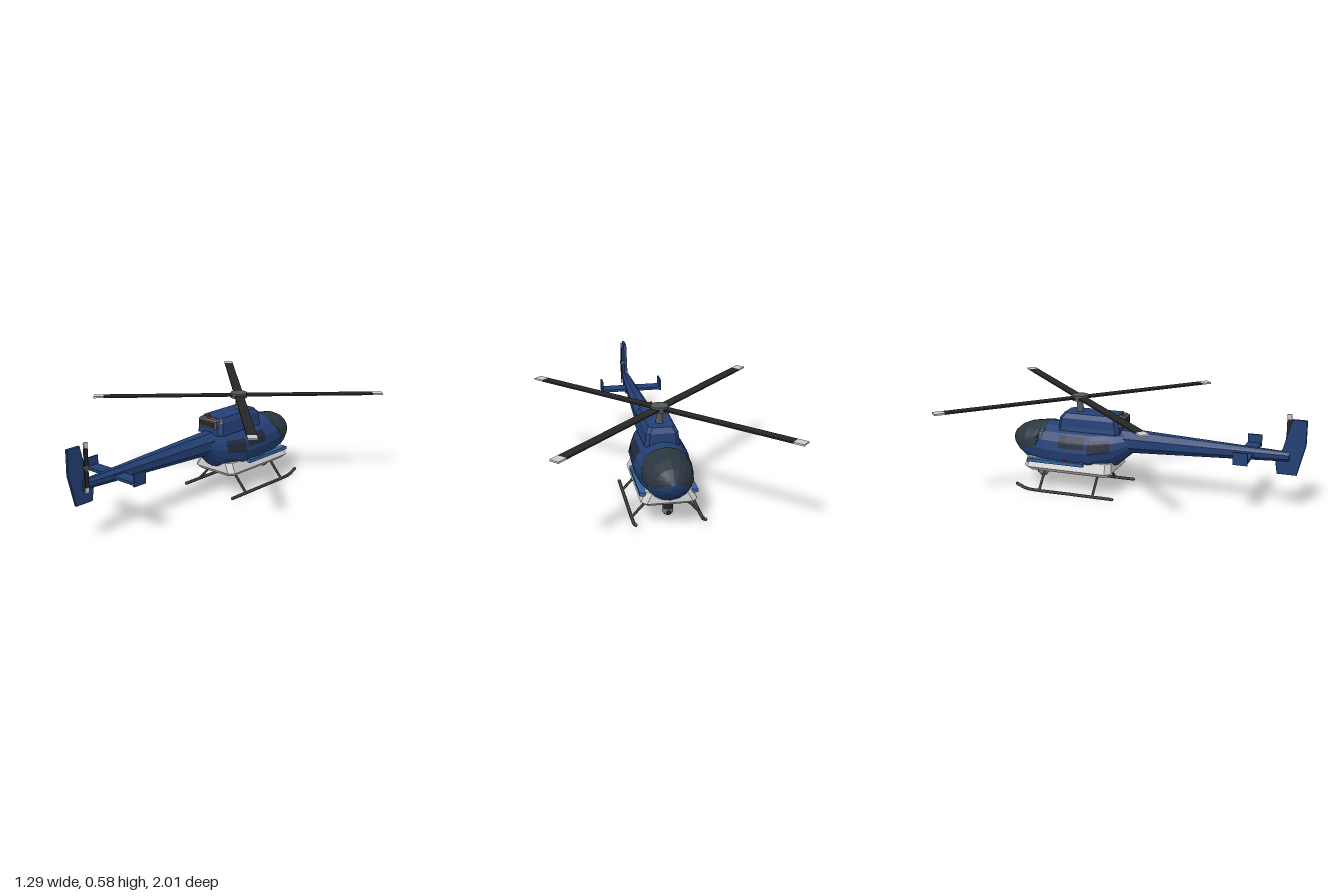
import * as THREE from 'three';

const mat = (color, extra = {}) => new THREE.MeshStandardMaterial({ color, flatShading: true, ...extra });
const BLUE = mat(0x233f74), DARK = mat(0x262626), GLASS = mat(0x2b3640, { side: THREE.DoubleSide });
const WINDOW = mat(0x1f2a3a, { side: THREE.DoubleSide }), STEEL = mat(0x55565a), STEP = mat(0x34609c);
const GREY = mat(0xcccccc), RED = mat(0xc01818), GREEN = mat(0x18b030);
const rad = THREE.MathUtils.degToRad, lerp = THREE.MathUtils.lerp;

// Skin over closed rings of equal point count, with both ends capped
function loft(rings) {
  const n = rings[0].length, pos = rings.flat(2), idx = [], last = (rings.length - 1) * n;
  for (let i = 0; i < rings.length - 1; i++) for (let j = 0; j < n; j++) {
    const k = (j + 1) % n, a = i * n + j, b = i * n + k, c = b + n, d = a + n;
    idx.push(a, b, d, b, c, d);
  }
  for (let j = 1; j < n - 1; j++) idx.push(0, j + 1, j, last, last + j, last + j + 1);
  const g = new THREE.BufferGeometry();
  g.setAttribute('position', new THREE.Float32BufferAttribute(pos, 3));
  g.setIndex(idx);
  g.computeVertexNormals();
  return g;
}

// Horizontal rectangle with cut corners
const plate = (y, w, z0, z1, c) => [[w, z1 - c], [w, z0 + c], [w - c, z0], [c - w, z0],
  [-w, z0 + c], [-w, z1 - c], [c - w, z1], [w - c, z1]].map(([x, z]) => [x, y, z]);

// Fuselage stations: z, half width, bottom, top
const STATIONS = [
  [-0.798, 0.008, 0.275, 0.295], [-0.78, 0.05, 0.235, 0.325], [-0.74, 0.09, 0.195, 0.36],
  [-0.68, 0.124, 0.155, 0.386], [-0.56, 0.148, 0.12, 0.404], [-0.4, 0.158, 0.107, 0.405],
  [-0.25, 0.155, 0.118, 0.402], [-0.12, 0.11, 0.165, 0.394], [-0.02, 0.06, 0.252, 0.38]];
const SIDES = 16;

function hullRing([z, w, lo, hi]) {
  return Array.from({ length: SIDES }, (_, j) => {
    const t = (j / SIDES) * Math.PI * 2;
    return [w * Math.cos(t), (lo + hi) / 2 + ((hi - lo) / 2) * Math.sin(t), z];
  });
}

// Point on the faceted hull, pushed out a little
function hullPoint(z, deg, out) {
  let i = 0;
  while (i < STATIONS.length - 2 && STATIONS[i + 1][0] < z) i++;
  const A = STATIONS[i], B = STATIONS[i + 1], f = (z - A[0]) / (B[0] - A[0]);
  const s = A.map((v, k) => lerp(v, B[k], f));
  const ring = hullRing(s), p = (((deg + 360) % 360) / 360) * SIDES, j = Math.floor(p);
  const a = ring[j % SIDES], b = ring[(j + 1) % SIDES], t = rad(deg);
  return [lerp(a[0], b[0], p - j) + out * Math.cos(t), lerp(a[1], b[1], p - j) + out * Math.sin(t), z];
}

// Panel hugging the hull; rows hold z, start angle, end angle
function hullPatch(rows, steps, out = 0.004) {
  const pos = [], idx = [], n = steps + 1;
  rows.forEach(([z, a, b], i) => {
    for (let j = 0; j < n; j++) {
      pos.push(...hullPoint(z, lerp(a, b, j / steps), out));
      if (i && j) { const d = i * n + j; idx.push(d - n - 1, d - 1, d - n, d - n, d - 1, d); }
    }
  });
  const g = new THREE.BufferGeometry();
  g.setAttribute('position', new THREE.Float32BufferAttribute(pos, 3));
  g.setIndex(idx);
  g.computeVertexNormals();
  return g;
}

export function createModel() {
  const model = new THREE.Group();
  model.name = 'helicopter';
  const add = (name, geo, material, x = 0, y = 0, z = 0, parent = model) => {
    const m = new THREE.Mesh(geo, material);
    m.name = name;
    m.position.set(x, y, z);
    parent.add(m);
    return m;
  };
  const box = (w, h, d) => new THREE.BoxGeometry(w, h, d);
  const cyl = (a, b, h, n = 12) => new THREE.CylinderGeometry(a, b, h, n);
  const tube = (pts, r, n = 12) => new THREE.TubeGeometry(
    new THREE.CatmullRomCurve3(pts.map(p => new THREE.Vector3(...p))), n, r, 8);

  // Body and cockpit glazing
  add('fuselage', loft(STATIONS.map(hullRing)), BLUE);
  add('cockpitGlass', hullPatch([[-0.792, 15, 165], [-0.78, 5, 175], [-0.74, -15, 195], [-0.68, -10, 190],
    [-0.61, 0, 180], [-0.58, 22, 158], [-0.55, 42, 138]], 32), GLASS);
  for (const side of [1, -1]) {
    const a = d => (side > 0 ? d : 180 - d);
    add('rearWindow', hullPatch([-0.26, -0.25, -0.19, -0.13].map(z => [z, a(-3), a(32)]), 8), WINDOW);
    add('doorWindow', hullPatch([-0.445, -0.4, -0.28].map(z => [z, a(9), a(39)]), 8), WINDOW);
  }

  // Belly skirt
  add('bellySkirt', loft([plate(0.117, 0.13, -0.65, -0.145, 0.02), plate(0.142, 0.155, -0.682, -0.12, 0.03),
    plate(0.197, 0.125, -0.672, -0.13, 0.03)]), GREY);

  // Engine cowling with exhaust and beacon
  add('engineCowling', loft([plate(0.375, 0.1, -0.468, -0.085, 0.02), plate(0.4, 0.095, -0.468, -0.085, 0.02),
    plate(0.45, 0.09, -0.462, -0.095, 0.02), plate(0.478, 0.072, -0.44, -0.105, 0.02)]), BLUE);
  add('exhaust', loft([plate(0.418, 0.07, -0.14, -0.065, 0.01), plate(0.465, 0.07, -0.14, -0.065, 0.01),
    plate(0.476, 0.06, -0.14, -0.075, 0.01)]), STEEL);
  add('exhaustOpening', box(0.11, 0.03, 0.004), DARK, 0, 0.442, -0.064);
  add('beacon', cyl(0.008, 0.01, 0.024, 8), RED, 0, 0.486, -0.09);

  // Tail boom: z, half width, bottom, top
  add('tailBoom', loft([[-0.14, 0.07, 0.25, 0.393], [-0.02, 0.065, 0.257, 0.388], [0.91, 0.022, 0.3, 0.352]]
    .map(([z, w, lo, hi]) => Array.from({ length: 8 }, (_, j) => {
      const t = ((j + 0.5) / 8) * Math.PI * 2, k = 1 / Math.cos(Math.PI / 8);
      return [w * k * Math.cos(t), (lo + hi) / 2 + ((hi - lo) / 2) * k * Math.sin(t), z];
    }))), BLUE);

  // Upright fin, outlined in z and y
  const outline = [[1, 0.545], [0.915, 0.545], [0.87, 0.37], [0.83, 0.3], [0.842, 0.22], [0.955, 0.22], [1, 0.4]];
  const fin = new THREE.ExtrudeGeometry(new THREE.Shape(outline.map(([z, y]) => new THREE.Vector2(-z, y))),
    { depth: 0.012, bevelEnabled: true, bevelThickness: 0.003, bevelSize: 0.002, bevelOffset: -0.002, bevelSegments: 1 });
  fin.translate(0, 0, -0.006).rotateY(Math.PI / 2);
  add('tailFin', fin, BLUE);

  // Stabiliser with end plates
  add('stabiliser', box(0.38, 0.016, 0.082), BLUE, 0, 0.322, 0.668);
  for (const side of [1, -1]) add('stabiliserEndPlate', box(0.01, 0.072, 0.084), BLUE, side * 0.19, 0.345, 0.67);

  // Main rotor
  const rotor = new THREE.Group();
  rotor.name = 'mainRotor';
  rotor.position.set(0, 0, -0.36);
  model.add(rotor);
  add('mast', cyl(0.018, 0.022, 0.1), STEEL, 0, 0.515, 0, rotor);
  add('hub', cyl(0.05, 0.05, 0.031, 16), STEEL, 0, 0.563, 0, rotor);
  for (let i = 0; i < 4; i++) {
    const blade = new THREE.Group();
    blade.name = 'rotorBlade';
    blade.rotation.y = Math.PI / 4 + (i * Math.PI) / 2;
    blade.position.y = 0.563;
    rotor.add(blade);
    add('bladeSpan', box(0.785, 0.009, 0.055), DARK, 0.4325, 0, 0, blade);
    add('bladeTip', box(0.06, 0.0095, 0.055), GREY, 0.855, 0, 0, blade);
  }

  // Tail rotor on the left of the fin
  const tail = new THREE.Group();
  tail.name = 'tailRotor';
  tail.position.set(0.028, 0.425, 0.895);
  model.add(tail);
  add('tailRotorShaft', cyl(0.01, 0.01, 0.036, 10), STEEL, -0.012, 0, 0, tail).rotation.z = Math.PI / 2;
  add('tailRotorHub', cyl(0.016, 0.016, 0.014, 10), STEEL, 0, 0, 0, tail).rotation.z = Math.PI / 2;
  for (const s of [1, -1]) {
    add('tailBlade', box(0.007, 0.11, 0.026), DARK, 0, s * 0.055, 0, tail);
    add('tailBladeTip', box(0.0075, 0.03, 0.026), GREY, 0, s * 0.125, 0, tail);
  }

  // Landing skids, side steps and navigation lights
  for (const s of [1, -1]) {
    add('skid', tube([[s * 0.19, 0.01, -0.09], [s * 0.19, 0.01, -0.35], [s * 0.19, 0.01, -0.6],
      [s * 0.19, 0.014, -0.645], [s * 0.19, 0.038, -0.705]], 0.01, 24), STEEL);
    for (const z of [-0.09, -0.705]) {
      add('skidEnd', new THREE.SphereGeometry(0.01, 8, 6), STEEL, s * 0.19, z < -0.5 ? 0.038 : 0.01, z);
    }
    for (const z of [-0.215, -0.56]) {
      add('skidStrut', tube([[s * 0.19, 0.012, z], [s * 0.135, 0.072, z], [s * 0.08, 0.135, z]], 0.008, 4), STEEL);
    }
    add('sideStep', box(0.035, 0.02, 0.36), STEP, s * 0.142, 0.186, -0.47);
    add('navigationLight', box(0.013, 0.013, 0.013), s > 0 ? GREEN : RED, s * 0.162, 0.206, -0.4);
  }

  // Camera turret under the nose
  add('cameraMount', cyl(0.028, 0.028, 0.06), DARK, 0, 0.1, -0.615);
  add('cameraBall', new THREE.SphereGeometry(0.031, 12, 8), mat(0x77787c), 0, 0.069, -0.615);
  add('cameraLens', cyl(0.012, 0.012, 0.01, 10), DARK, 0, 0.066, -0.644).rotation.x = Math.PI / 2;

  return model;
}
